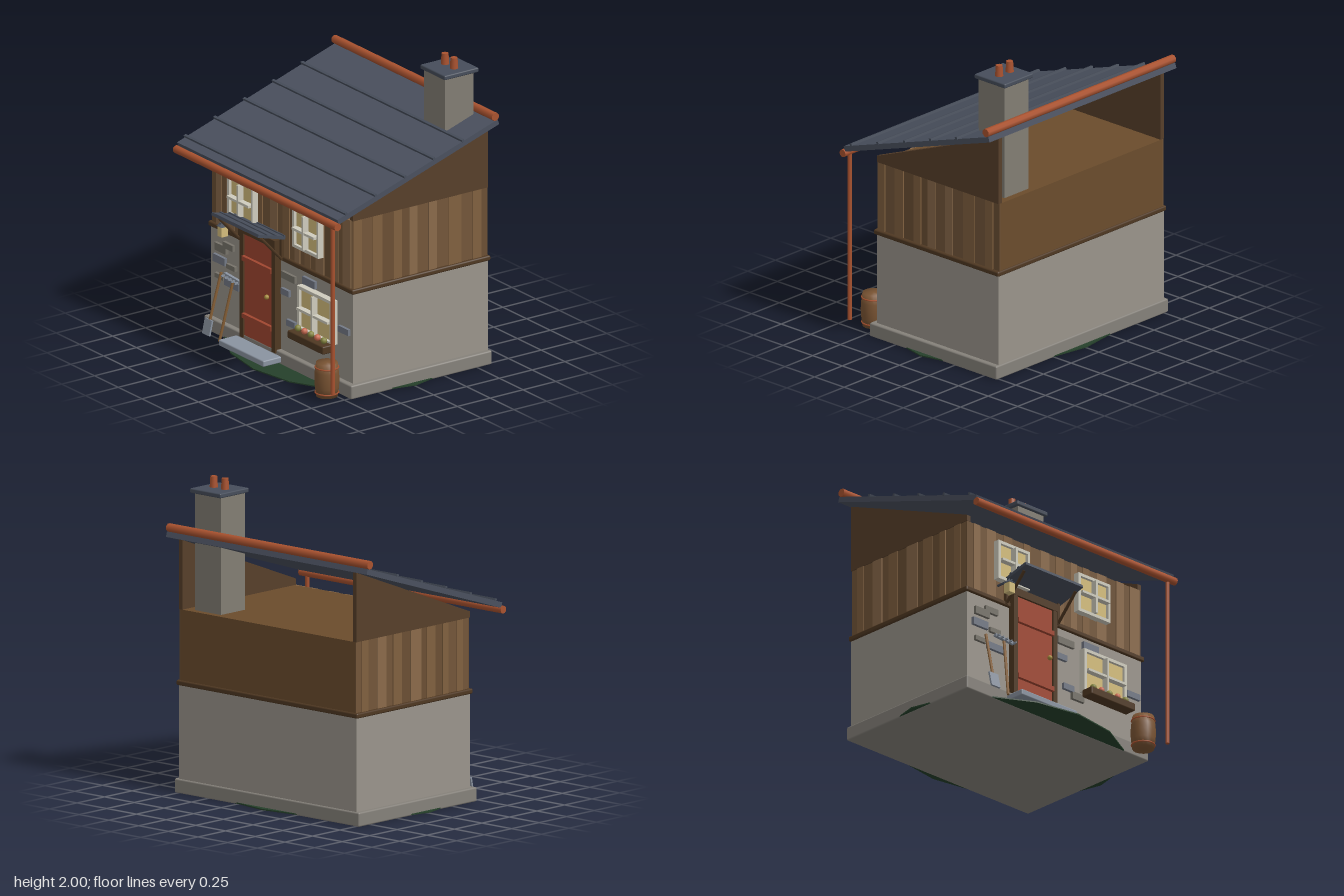
import * as THREE from 'three';
import { RoundedBoxGeometry } from 'three/addons/geometries/RoundedBoxGeometry.js';

const C = {
  stone: 0x9a948b, plinth: 0x85817a, chimney: 0x827d73, slate: 0x4a505e, cap: 0x464d5a,
  rust: 0xa9522f, door: 0xa04630, trim: 0x4f3822, wood: 0x6b4c2c, gable: 0x573f2a,
  cream: 0xcfccbe, glass: 0xd4bd7c, steel: 0x8a93a0, handle: 0x8a6238, barrel: 0x7a5433,
  grass: 0x25402a, brass: 0xa58a3c,
};
const planks = [0x6b4f33, 0x8a6a4a, 0x735639, 0x80603f];
const mats = {};
const mat = (c) => (mats[c] ??= new THREE.MeshStandardMaterial({ color: c }));

function add(parent, name, geo, color, x = 0, y = 0, z = 0) {
  const m = new THREE.Mesh(geo, mat(color));
  m.name = name;
  m.position.set(x, y, z);
  parent.add(m);
  return m;
}
// box from its limits, with an optional softened edge
function box(parent, name, color, [x0, x1], [y0, y1], [z0, z1], r = 0) {
  const s = [x1 - x0, y1 - y0, z1 - z0];
  const geo = r ? new RoundedBoxGeometry(...s, 2, r) : new THREE.BoxGeometry(...s);
  return add(parent, name, geo, color, (x0 + x1) / 2, (y0 + y1) / 2, (z0 + z1) / 2);
}
// round bar between two points
function rod(parent, name, color, a, b, r, sides = 10) {
  const p = new THREE.Vector3(...a), q = new THREE.Vector3(...b), d = q.clone().sub(p);
  const m = add(parent, name, new THREE.CylinderGeometry(r, r, d.length(), sides), color);
  m.position.copy(p).add(q).multiplyScalar(0.5);
  m.quaternion.setFromUnitVectors(new THREE.Vector3(0, 1, 0), d.normalize());
  return m;
}
function group(parent, name) {
  const g = new THREE.Group();
  g.name = name;
  parent.add(g);
  return g;
}
function seeded(seed) {
  return () => (seed = (seed * 16807) % 2147483647) / 2147483647;
}

// framed window with a cross bar
function addWindow(parent, x0, x1, y0, y1) {
  const g = group(parent, 'window'), t = 0.02, z = [0.42, 0.475];
  box(g, 'pane', C.glass, [x0 + t, x1 - t], [y0 + t, y1 - t], [0.42, 0.455]);
  box(g, 'frameTop', C.cream, [x0, x1], [y1 - t, y1], z);
  box(g, 'frameBottom', C.cream, [x0, x1], [y0, y0 + t], z);
  box(g, 'frameSide', C.cream, [x0, x0 + t], [y0 + t, y1 - t], z);
  box(g, 'frameSide', C.cream, [x1 - t, x1], [y0 + t, y1 - t], z);
  const cx = (x0 + x1) / 2, cy = (y0 + y1) / 2;
  box(g, 'uprightBar', C.cream, [cx - 0.008, cx + 0.008], [y0 + t, y1 - t], [0.45, 0.497]);
  box(g, 'crossBar', C.cream, [x0 + t, x1 - t], [cy - 0.008, cy + 0.008], [0.45, 0.495]);
}

// boards along one wall; place() turns a span into x and z limits
function addPlanks(parent, from, to, seed, place) {
  const rnd = seeded(seed);
  let i = 0;
  for (let p = from; p < to - 0.01; i++) {
    const end = Math.min(to, p + 0.05 + rnd() * 0.05);
    const [x, z] = place([p, end], 0.004 + 0.006 * (i % 2));
    box(parent, 'plank', planks[(i % 2) + 2 * Math.floor(rnd() * 2)], x, [0.71, 1.16], z);
    p = end;
  }
}

export function createModel() {
  const house = new THREE.Group();
  house.name = 'cottage';

  // ground and masonry
  const lawn = add(house, 'lawn', new THREE.CylinderGeometry(0.65, 0.65, 0.008, 16), C.grass, 0, 0.008, 0);
  lawn.scale.x = 1.25;
  box(house, 'plinth', C.plinth, [-0.78, 0.775], [0, 0.09], [-0.61, 0.465], 0.01);
  box(house, 'stoneWalls', C.stone, [-0.75, 0.745], [0.08, 0.69], [-0.6, 0.43]);
  box(house, 'belt', C.trim, [-0.765, 0.76], [0.68, 0.713], [-0.61, 0.445], 0.01);

  // facing stones: x, y, width, height, shade
  const shades = [0x77736a, 0x737985];
  const stones = [
    [-0.63, 0.57, 0.12, 0.05, 0], [-0.55, 0.605, 0.105, 0.04, 0], [-0.645, 0.49, 0.125, 0.05, 1],
    [-0.52, 0.475, 0.09, 0.03, 0], [-0.645, 0.38, 0.09, 0.03, 0], [-0.51, 0.365, 0.15, 0.045, 1],
    [0.085, 0.595, 0.14, 0.045, 0], [0.05, 0.485, 0.085, 0.04, 1], [0.3, 0.625, 0.13, 0.05, 1],
    [0.665, 0.42, 0.11, 0.04, 1], [0.11, 0.295, 0.09, 0.04, 1], [0.19, 0.255, 0.1, 0.05, 0],
  ];
  for (const [x, y, w, h, s] of stones)
    add(house, 'facingStone', new THREE.BoxGeometry(w, h, 0.03), shades[s], x, y, 0.435);

  // timber storey and gables
  box(house, 'timberWalls', C.wood, [-0.74, 0.735], [0.7, 1.16], [-0.6, 0.425]);
  addPlanks(house, -0.745, 0.74, 77, (s, d) => [s, [0.42, 0.425 + d]]);
  addPlanks(house, -0.6, 0.425, 191, (s, d) => [[0.73, 0.735 + d], s]);
  addPlanks(house, -0.6, 0.425, 523, (s, d) => [[-0.74 - d, -0.735], s]);
  const outline = new THREE.Shape(
    [[-0.43, 1.16], [0.6, 1.16], [0.6, 1.6], [-0.43, 1.2]].map(([a, b]) => new THREE.Vector2(a, b)));
  const gableGeo = new THREE.ExtrudeGeometry(outline, { depth: 0.03, bevelEnabled: false });
  gableGeo.rotateY(Math.PI / 2);
  for (const x of [-0.75, 0.715]) add(house, 'gable', gableGeo, C.gable, x);

  // sloping roof with batten rows
  const roof = group(house, 'roof'), pitch = Math.atan2(0.393, 1.215);
  roof.position.set(-0.003, 1.422, 0.003);
  roof.rotation.x = pitch;
  add(roof, 'roofSlab', new THREE.BoxGeometry(1.69, 0.035, 1.285), C.slate);
  for (const z of [0.545, 0.32, 0.095, -0.125, -0.345])
    add(roof, 'batten', new THREE.BoxGeometry(1.7, 0.016, 0.017), C.cap, 0, 0.024, z / Math.cos(pitch));
  const ridge = rod(house, 'ridgeCap', C.rust, [-0.85, 1.658, -0.583], [0.845, 1.658, -0.583], 0.027, 8);
  ridge.rotateY(Math.PI / 8);
  rod(house, 'gutter', C.rust, [-0.855, 1.195, 0.622], [0.85, 1.195, 0.622], 0.025, 12);
  rod(house, 'downpipe', C.rust, [0.79, 0.075, 0.617], [0.79, 1.19, 0.617], 0.014);

  // chimney
  box(house, 'chimneyStack', C.chimney, [0.43, 0.647], [1.16, 1.905], [-0.557, -0.34]);
  box(house, 'chimneyCap', C.cap, [0.41, 0.67], [1.9, 1.93], [-0.583, -0.323], 0.008);
  for (const x of [0.49, 0.585])
    add(house, 'chimneyPot', new THREE.CylinderGeometry(0.022, 0.027, 0.08, 12), C.rust, x, 1.96, -0.455);

  // windows and flower box
  addWindow(house, -0.52, -0.25, 0.83, 1.09);
  addWindow(house, 0.165, 0.44, 0.83, 1.09);
  addWindow(house, 0.215, 0.58, 0.3, 0.59);
  box(house, 'flowerBox', C.trim, [0.21, 0.585], [0.255, 0.307], [0.46, 0.545], 0.008);
  [0.265, 0.333, 0.402, 0.47, 0.538].forEach((x, i) =>
    add(house, 'flower', new THREE.SphereGeometry(0.021, 10, 8), i % 2 ? 0xc96a50 : 0x85853f, x, 0.328, 0.503));

  // door, frame and step
  const door = group(house, 'frontDoor');
  for (const x of [-0.39, -0.05]) box(door, 'jamb', C.trim, [x, x + 0.035], [0.07, 0.765], [0.42, 0.475]);
  box(door, 'lintel', C.trim, [-0.39, -0.015], [0.76, 0.81], [0.42, 0.478]);
  box(door, 'doorLeaf', C.door, [-0.36, -0.045], [0.075, 0.765], [0.42, 0.463]);
  for (const y of [0.205, 0.583]) box(door, 'doorBatten', C.door, [-0.355, -0.05], [y, y + 0.03], [0.455, 0.485]);
  add(door, 'doorKnob', new THREE.SphereGeometry(0.016, 10, 8), C.brass, -0.09, 0.42, 0.485);
  box(house, 'doorStep', C.steel, [-0.44, 0.035], [0.02, 0.06], [0.43, 0.6], 0.008);

  // canopy with its braces
  const canopy = add(house, 'canopy', new THREE.BoxGeometry(0.49, 0.02, 0.215), C.cap, -0.205, 0.867, 0.54);
  canopy.rotation.x = -0.27;
  for (const z of [-0.1, -0.03, 0.04])
    add(canopy, 'canopyBatten', new THREE.BoxGeometry(0.494, 0.01, 0.015), C.cap, 0, 0.012, z);
  for (const x of [-0.425, 0.015]) {
    rod(house, 'canopyBrace', C.trim, [x, 0.7, 0.45], [x, 0.865, 0.605], 0.01, 6);
    box(house, 'canopyPost', C.trim, [x - 0.009, x + 0.009], [0.69, 0.84], [0.43, 0.455]);
  }

  // wall lantern
  box(house, 'lanternArm', C.cap, [-0.491, -0.479], [0.795, 0.805], [0.42, 0.555]);
  box(house, 'lanternGlass', C.glass, [-0.508, -0.462], [0.715, 0.785], [0.512, 0.558]);
  const hood = add(house, 'lanternHood', new THREE.ConeGeometry(0.04, 0.035, 4), C.cap, -0.485, 0.798, 0.535);
  hood.rotation.y = Math.PI / 4;

  // rain barrel
  const staves = [[0, 0], [0.068, 0], [0.076, 0.06], [0.079, 0.11], [0.076, 0.16], [0.068, 0.22], [0, 0.22]];
  add(house, 'barrel', new THREE.LatheGeometry(staves.map(([r, y]) => new THREE.Vector2(r, y)), 16),
    C.barrel, 0.642, 0.01, 0.555);
  for (const y of [0.035, 0.2]) {
    const hoop = add(house, 'barrelHoop', new THREE.TorusGeometry(0.073, 0.005, 6, 16), C.rust, 0.642, y, 0.555);
    hoop.rotation.x = Math.PI / 2;
  }

  // garden tools leaning on the wall
  rod(house, 'shovelHandle', C.handle, [-0.625, 0.1, 0.535], [-0.61, 0.42, 0.455], 0.009, 8);
  const blade = box(house, 'shovelBlade', C.steel, [-0.663, -0.588], [0.025, 0.125], [0.541, 0.553]);
  blade.rotation.x = -0.22;
  rod(house, 'rakeHandle', C.handle, [-0.505, 0.015, 0.545], [-0.465, 0.425, 0.465], 0.009, 8);
  const rake = add(house, 'rakeHead', new THREE.BoxGeometry(0.16, 0.018, 0.02), C.steel, -0.468, 0.428, 0.47);
  rake.rotation.z = -0.06;
  for (let i = -2; i <= 2; i++)
    add(rake, 'rakeTooth', new THREE.BoxGeometry(0.008, 0.012, 0.035), C.steel, i * 0.035, -0.006, 0.018);

  return house;
}
